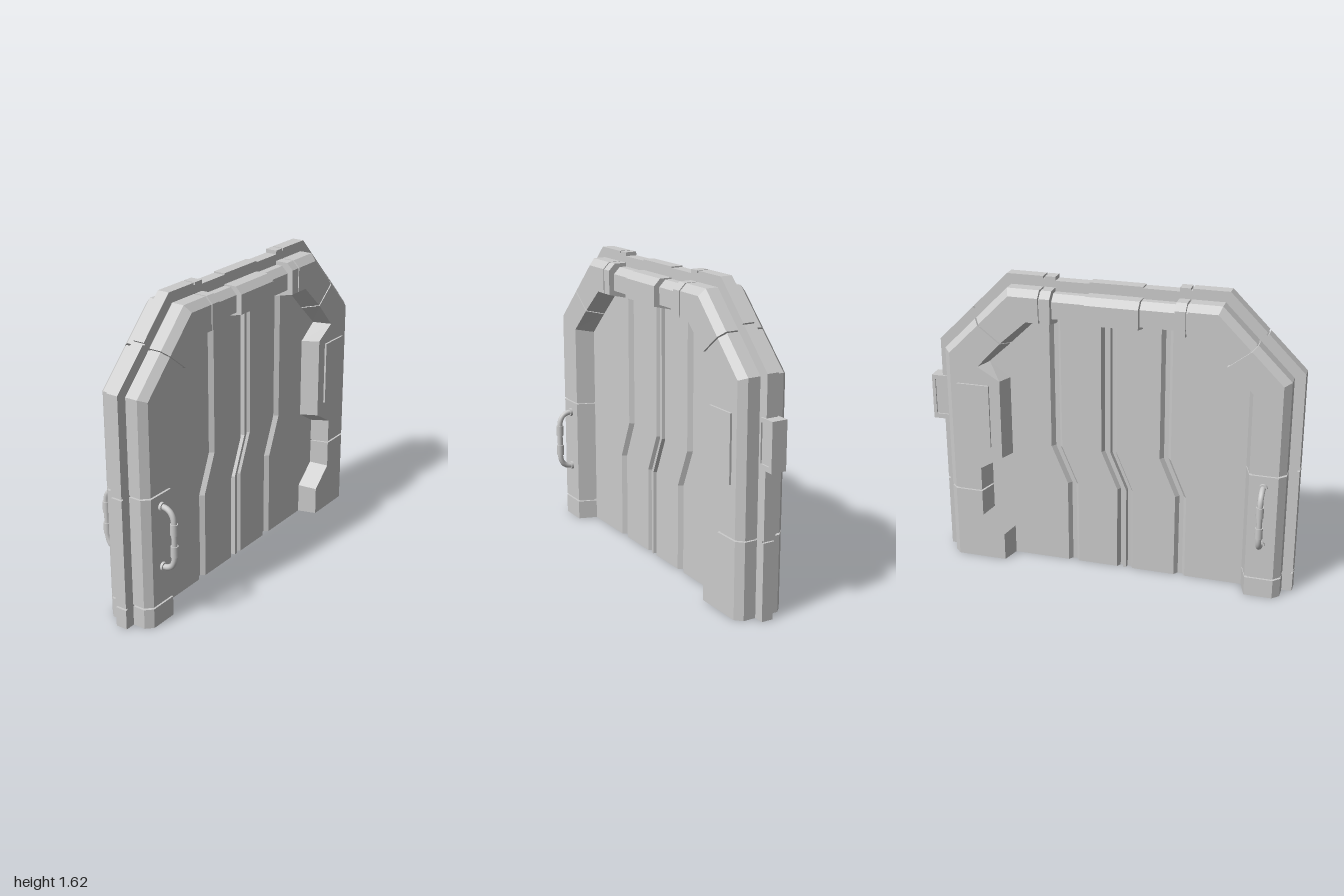
import * as THREE from 'three';

const mat = new THREE.MeshStandardMaterial({ color: 0xcccccc, side: THREE.DoubleSide });

function addMesh(parent, name, geometry, x = 0, y = 0, z = 0) {
  const mesh = new THREE.Mesh(geometry, mat);
  mesh.name = name;
  mesh.position.set(x, y, z);
  parent.add(mesh);
  return mesh;
}

// Skins rows of front points [x, y, z]; each row is closed by its mirror in z
function loft(rows) {
  const n = rows[0].length, pos = [], index = [];
  const quad = (a, b, c, d) => index.push(a, b, c, a, c, d);
  for (const row of rows) {
    for (const p of row) pos.push(...p);
    for (const [x, y, z] of [...row].reverse()) pos.push(x, y, -z);
  }
  const w = 2 * n, last = (rows.length - 1) * w;
  for (let r = 0; r < rows.length - 1; r++) {
    for (let k = 0; k < w; k++) {
      const a = r * w + k, b = r * w + (k + 1) % w;
      quad(a, b, b + w, a + w);
    }
  }
  for (let k = 0; k < n - 1; k++) {
    const back = w - 1 - k;
    quad(last + k, last + k + 1, last + back - 1, last + back);
    quad(k, back, back - 1, k + 1);
  }
  const g = new THREE.BufferGeometry();
  g.setAttribute('position', new THREE.Float32BufferAttribute(pos, 3));
  g.setIndex(index);
  const flat = g.toNonIndexed();
  flat.computeVertexNormals();
  return flat;
}

// A frame station: outer point, inward mitre, front inner edge, deep inner edge
const MID = -0.03;
const leftSide = (y) => [-1, y, 1, 0, -0.76, y, -0.725, y];
const rightSide = (y, c, cy, d, dy) => [0.94, y, -1, 0, c, cy, d, dy];
const top = (x) => [x, 1.62, 0, -1, x, 1.4, x, 1.375];
const mirror = ([ox, oy, nx, ny, cx, cy, dx, dy]) =>
  [2 * MID - ox, oy, -nx, ny, 2 * MID - cx, cy, 2 * MID - dx, dy];

// Cross-section with thin outer rail, chamfered body and sloped inner wall
function section([ox, oy, nx, ny, cx, cy, dx, dy], inset, depth) {
  const at = (off, z) => [ox + nx * off, oy + ny * off, z];
  return [
    at(inset, 0.032), at(0.055 + inset, 0.032), at(0.055 + inset, depth - 0.035),
    at(0.09 + inset, depth),
    [cx - nx * inset, cy - ny * inset, depth],
    [dx - nx * inset, dy - ny * inset, 0.03],
  ];
}

// Pulls one end of a segment back to leave half a seam
function trim(a, b, gap) {
  if (a[1] === 0) return a;
  const t = gap / Math.hypot(b[0] - a[0], b[1] - a[1]);
  return a.map((v, i) => v + (b[i] - v) * t);
}

function segment(parent, name, stations, inset = 0, depth = 0.135, gap = 0.005) {
  const s = [...stations], e = s.length - 1;
  s[0] = trim(stations[0], stations[1], gap);
  s[e] = trim(stations[e], stations[e - 1], gap);
  return addMesh(parent, name, loft(s.map((st) => section(st, inset, depth))));
}

function buildFrame() {
  const frame = new THREE.Group();
  frame.name = 'doorFrame';
  const shoulder = [-1, 1.23, 1, -0.414, -0.76, 1.14, -0.725, 1.12];
  const diagonal = [-0.805, 1.425, 0.707, -0.707, -0.625, 1.27, -0.6, 1.245];
  const crown = [-0.61, 1.62, 0.414, -1, -0.48, 1.4, -0.465, 1.375];
  const diagonalR = mirror(diagonal), crownR = mirror(crown);

  // Right jamb with stepped inner outline
  const seamR = rightSide(0.41, 0.7, 0.41, 0.67, 0.41);
  const jambUpper = [
    diagonalR,
    [0.94, 1.23, -1, -0.414, 0.695, 1.13, 0.665, 1.13],
    rightSide(1.06, 0.575, 1.06, 0.55, 1.05),
    rightSide(0.62, 0.575, 0.62, 0.55, 0.61),
    rightSide(0.545, 0.7, 0.545, 0.67, 0.535),
    seamR,
  ];
  const jambLower = [
    seamR,
    rightSide(0.26, 0.7, 0.26, 0.67, 0.27),
    rightSide(0.155, 0.58, 0.155, 0.55, 0.165),
    rightSide(0, 0.58, 0, 0.55, 0),
  ];

  segment(frame, 'leftFoot', [leftSide(0), leftSide(0.11)]);
  segment(frame, 'handleJamb', [leftSide(0.11), leftSide(0.705)]);
  segment(frame, 'upperJamb', [leftSide(0.705), shoulder, diagonal]);
  segment(frame, 'archCorner', [diagonal, crown, top(-0.415)]);
  segment(frame, 'archClamp', [top(-0.415), top(-0.35)]);
  segment(frame, 'lintel', [top(-0.355), top(0.295)], 0.02, 0.105, 0);
  segment(frame, 'lintelBlock', [top(-0.17), top(0.11)], 0.013, 0.135, 0);
  segment(frame, 'archClamp', [top(0.285), top(0.35)]);
  segment(frame, 'archCorner', [top(0.35), crownR, diagonalR]);
  segment(frame, 'steppedJamb', jambUpper);
  segment(frame, 'steppedFoot', jambLower);

  // Inner cores close the seams between segments
  segment(frame, 'seamCore',
    [leftSide(0), leftSide(0.705), shoulder, diagonal, crown, top(-0.37)], 0.012, 0.123, 0);
  segment(frame, 'seamCore',
    [top(0.31), crownR, ...jambUpper, ...jambLower.slice(1)], 0.012, 0.123, 0);
  return frame;
}

// Door leaf with kinked grooves running from top to bottom
function buildDoor() {
  const face = 0.035, low = 0.012;
  const groove = (x) => [[x - 0.03, face], [x - 0.012, low], [x + 0.012, low], [x + 0.03, face]];
  const profile = [
    ...groove(-0.298),
    [-0.036, face], [-0.022, low], [-0.004, low], [0, face], [0.018, face],
    [0.024, low], [0.036, low], [0.05, face],
    ...groove(0.298),
  ];
  const levels = [
    [0, -0.088, -0.75, 0.72], [0.47, -0.088, -0.75, 0.72], [0.68, 0, -0.75, 0.72],
    [1.2, 0, -0.75, 0.7], [1.42, 0, -0.55, 0.49],
  ];
  return loft(levels.map(([y, shift, left, right]) => [
    [left, y, face],
    ...profile.map(([x, z]) => [x + shift, y, z]),
    [right, y, face],
  ]));
}

// Curved pull handle with collars, standing out toward +z
function buildHandle() {
  const handle = new THREE.Group();
  handle.name = 'pullHandle';
  const v = (y, z) => new THREE.Vector3(0, y, z);
  const path = new THREE.CurvePath();
  path.add(new THREE.LineCurve3(v(0.637, 0.12), v(0.637, 0.145)));
  path.add(new THREE.CubicBezierCurve3(v(0.637, 0.145), v(0.637, 0.19), v(0.605, 0.211), v(0.56, 0.211)));
  path.add(new THREE.LineCurve3(v(0.56, 0.211), v(0.39, 0.211)));
  path.add(new THREE.CubicBezierCurve3(v(0.39, 0.211), v(0.345, 0.211), v(0.313, 0.19), v(0.313, 0.145)));
  path.add(new THREE.LineCurve3(v(0.313, 0.145), v(0.313, 0.12)));
  addMesh(handle, 'grip', new THREE.TubeGeometry(path, 48, 0.015, 12));
  for (const y of [0.535, 0.418]) {
    addMesh(handle, 'gripCollar', new THREE.CylinderGeometry(0.02, 0.02, 0.058, 16), 0, y, 0.211);
  }
  for (const y of [0.637, 0.313]) {
    addMesh(handle, 'mountCollar', new THREE.CylinderGeometry(0.023, 0.023, 0.022, 16), 0, y, 0.137)
      .rotation.x = Math.PI / 2;
  }
  return handle;
}

// Side box with a rim around a recessed face
function buildSideBox() {
  const box = new THREE.Group();
  box.name = 'sideBox';
  const rect = (path, x0, y0, x1, y1) =>
    path.moveTo(x0, y0).lineTo(x1, y0).lineTo(x1, y1).lineTo(x0, y1).closePath();
  const rim = new THREE.Shape();
  rect(rim, 0.905, 0.77, 1, 1.02);
  const hole = new THREE.Path();
  rect(hole, 0.912, 0.797, 0.982, 0.997);
  rim.holes.push(hole);
  addMesh(box, 'boxRim', new THREE.ExtrudeGeometry(rim, { depth: 0.084, bevelEnabled: false }), 0, 0, -0.042);
  addMesh(box, 'boxFace', new THREE.BoxGeometry(0.08, 0.21, 0.068), 0.947, 0.897, 0);
  return box;
}

export function createModel() {
  const model = new THREE.Group();
  model.name = 'slidingDoor';
  model.add(buildFrame());
  addMesh(model, 'doorLeaf', buildDoor());

  // Control plate shows on both faces
  addMesh(model, 'controlPlate', new THREE.BoxGeometry(0.176, 0.35, 0.292), 0.723, 0.855, 0);
  model.add(buildSideBox());

  // One handle on each face
  for (const turn of [0, Math.PI]) {
    const handle = buildHandle();
    handle.position.x = -0.835;
    handle.rotation.y = turn;
    model.add(handle);
  }
  return model;
}
